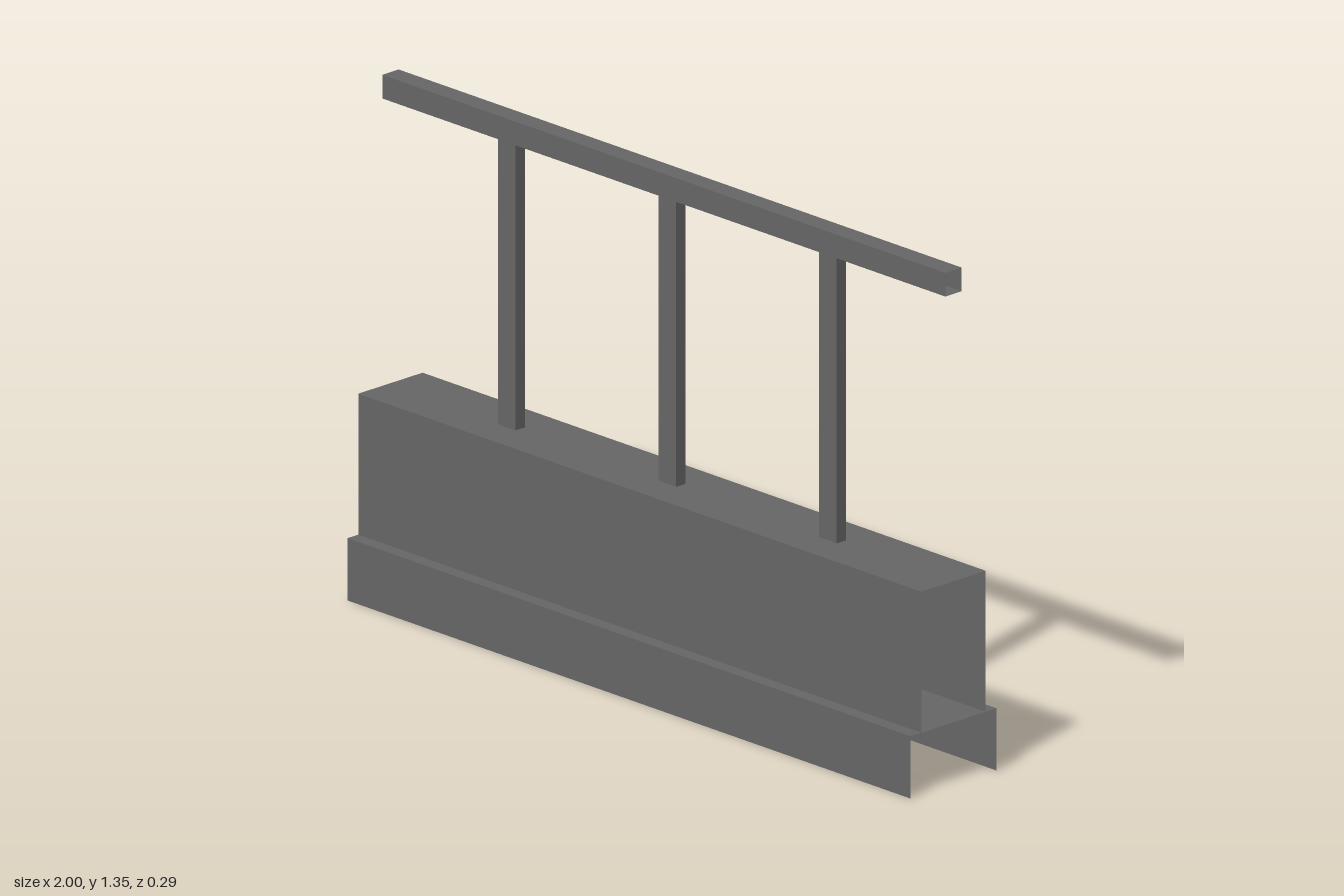
import * as THREE from 'three';

const LENGTH = 2;
const DARK_GREY = 0x666666;
const sheet = new THREE.MeshStandardMaterial({ color: DARK_GREY, side: THREE.DoubleSide, flatShading: true });
const solid = new THREE.MeshStandardMaterial({ color: DARK_GREY, flatShading: true });

// Thin sheet running the full length: a [z, y] profile swept along x, open at both ends
function sweptSheet(name, profile) {
  const h = LENGTH / 2;
  const positions = [];
  for (let i = 0; i < profile.length - 1; i++) {
    const [z0, y0] = profile[i];
    const [z1, y1] = profile[i + 1];
    positions.push(-h, y0, z0, h, y0, z0, h, y1, z1);
    positions.push(-h, y0, z0, h, y1, z1, -h, y1, z1);
  }
  const geometry = new THREE.BufferGeometry();
  geometry.setAttribute('position', new THREE.Float32BufferAttribute(positions, 3));
  geometry.computeVertexNormals();
  const mesh = new THREE.Mesh(geometry, sheet);
  mesh.name = name;
  return mesh;
}

export function createModel() {
  const model = new THREE.Group();
  model.name = 'railing';

  const ledgeY = 0.163, wallTop = 0.532;
  const wallZ = 0.11, skirtZ = 0.147;

  // Skirt open below, with a plate across its full width
  model.add(sweptSheet('skirt', [[skirtZ, 0], [skirtZ, ledgeY], [-skirtZ, ledgeY], [-skirtZ, 0]]));

  // Two walls and a top standing on the plate
  model.add(sweptSheet('parapet', [[wallZ, ledgeY], [wallZ, wallTop], [-wallZ, wallTop], [-wallZ, ledgeY]]));

  // Posts, reaching a little way into the handrail
  const postTop = 1.303;
  const postGeometry = new THREE.BoxGeometry(0.063, postTop - wallTop, 0.032);
  const posts = new THREE.Group();
  posts.name = 'posts';
  for (const x of [-0.57, 0, 0.57]) {
    const post = new THREE.Mesh(postGeometry, solid);
    post.name = 'post';
    post.position.set(x, (postTop + wallTop) / 2, 0);
    posts.add(post);
  }
  model.add(posts);

  // Handrail: square tube with open ends
  const railZ = 0.028, railBottom = 1.284, railTop = 1.346;
  model.add(sweptSheet('handrail', [
    [railZ, railBottom], [railZ, railTop], [-railZ, railTop], [-railZ, railBottom], [railZ, railBottom],
  ]));

  return model;
}
